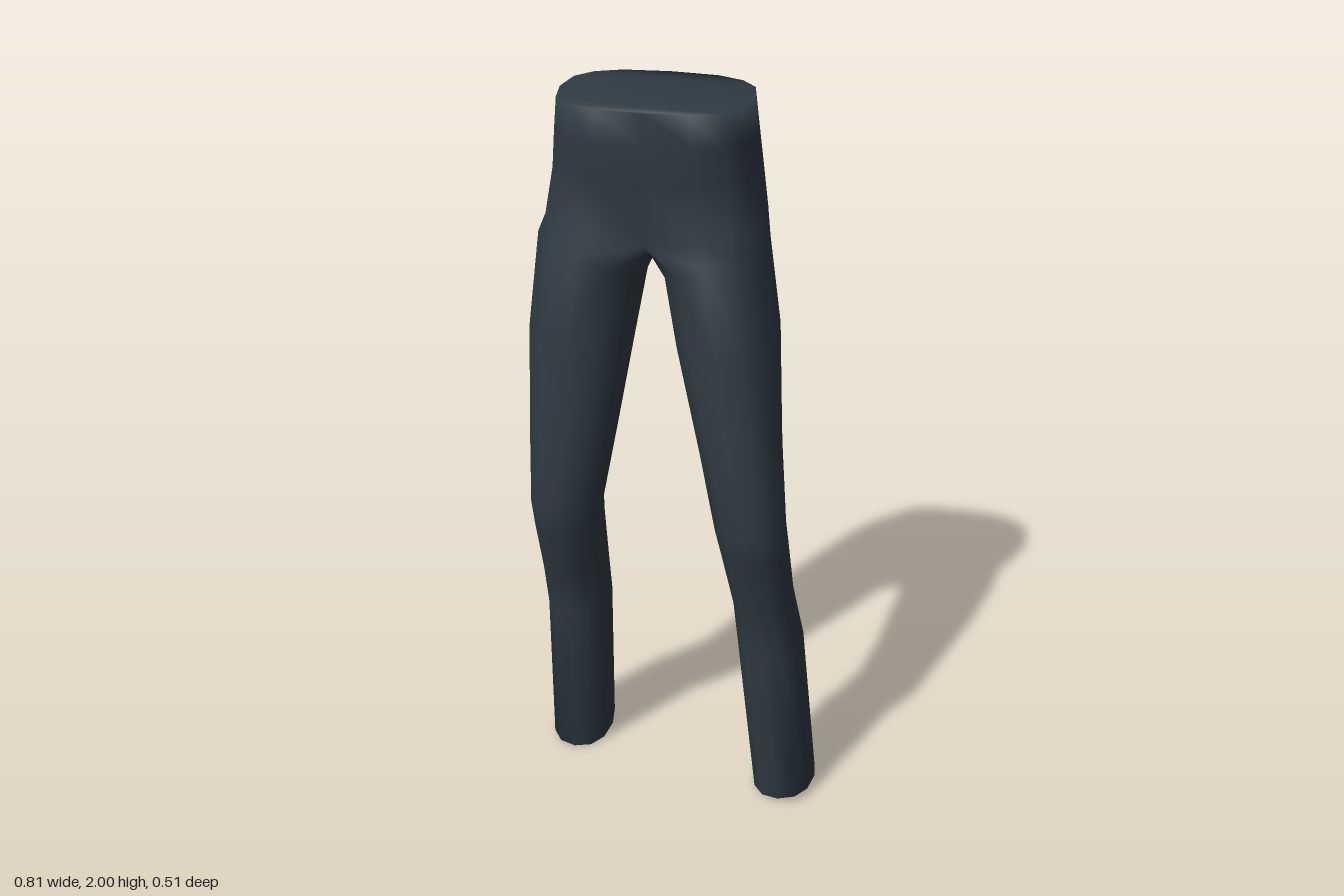
import * as THREE from 'three';

// Rounded outline point between x0..x1 and z0..z1; angle 90 is the front
function outline(x0, x1, z0, z1, degrees, power) {
  const a = THREE.MathUtils.degToRad(degrees);
  const bend = v => Math.sign(v) * Math.pow(Math.abs(v), power);
  const c = bend(Math.cos(a)), s = bend(Math.sin(a));
  return { c, s, x: (x0 + x1) / 2 + c * (x1 - x0) / 2, z: (z0 + z1) / 2 + s * (z1 - z0) / 2 };
}

// Hip rings from the waist down: y, x0, x1, z0, z1, forward tilt
const HIPS = [
  [1.99, -0.325, 0.175, -0.19, 0.135, -0.01],
  [1.90, -0.335, 0.182, -0.222, 0.137, 0],
  [1.80, -0.345, 0.19, -0.255, 0.138, 0],
  [1.68, -0.368, 0.21, -0.235, 0.14, 0],
];

// Leg rings from the thigh to the hem: y, x0, x1, z0, z1, outward tilt, forward tilt
const LEFT = [
  [1.575, -0.045, 0.222, -0.205, 0.172, 0.055, 0.03],
  [1.38, -0.005, 0.265, -0.14, 0.205, 0.01, 0],
  [1.10, 0.07, 0.29, -0.03, 0.235, 0, 0],
  [0.88, 0.12, 0.313, 0.022, 0.255, 0, 0.02],
  [0.81, 0.135, 0.318, 0.015, 0.235, 0, 0],
  [0.64, 0.165, 0.33, -0.02, 0.2, 0, 0],
  [0.48, 0.175, 0.36, -0.045, 0.172, 0, 0],
  [0.022, 0.23, 0.405, -0.06, 0.18, 0.008, 0],
];
const RIGHT = [
  [1.575, -0.38, -0.103, -0.205, 0.16, 0.055, 0.03],
  [1.38, -0.405, -0.123, -0.145, 0.18, 0.01, 0],
  [1.10, -0.403, -0.165, -0.055, 0.195, 0, 0],
  [0.88, -0.4, -0.203, -0.01, 0.205, 0, 0.02],
  [0.81, -0.398, -0.208, -0.03, 0.185, 0, 0],
  [0.64, -0.395, -0.215, -0.085, 0.13, 0, 0],
  [0.50, -0.398, -0.219, -0.127, 0.085, 0, 0],
  [0.02, -0.41, -0.235, -0.187, 0.045, 0, -0.016],
];

function trousersGeometry() {
  const positions = [], index = [];
  const add = (x, y, z) => positions.push(x, y, z) / 3 - 1;
  const tri = (a, b, c, flip) => {
    if (a !== b && b !== c && a !== c) index.push(...(flip ? [a, c, b] : [a, b, c]));
  };
  // Wall between two rings
  const wall = (top, low, flip) => top.forEach((a, i) => {
    const j = (i + 1) % top.length;
    tri(a, low[i], low[j], flip);
    tri(a, low[j], top[j], flip);
  });
  // Closing face across a ring
  const cap = (ring, flip) => {
    const n = ring.length;
    for (let k = 0; k < n / 2; k++) {
      const a = ring[k], b = ring[k + 1], c = ring[n - k - 1], d = ring[(n - k) % n];
      tri(a, b, c, flip);
      tri(a, c, d, flip);
    }
  };

  // Waist and hips
  const hips = HIPS.map(([y, x0, x1, z0, z1, tilt], row) => Array.from({ length: 16 }, (_, k) => {
    const p = outline(x0, x1, z0, z1, 90 - k * 22.5, 0.72);
    // The last ring dips towards the crotch
    const dip = row === HIPS.length - 1 ? 0.05 * (1 - Math.abs(p.c)) : 0;
    const tuck = dip && p.s > 0 ? 0.03 * (1 - Math.abs(p.c)) : 0;
    return add(p.x, y + tilt * p.s - dip, p.z - tuck);
  }));
  cap(hips[0], false);
  for (let i = 1; i < hips.length; i++) wall(hips[i - 1], hips[i], false);

  // Crotch seam shared by both legs, back to front
  const seam = [-0.13, -0.04, 0.05].map(z => add(-0.075, 1.59, z));

  // Legs, closed at the hems
  const last = hips[hips.length - 1];
  [[LEFT, 1], [RIGHT, -1]].forEach(([rings, side]) => {
    const flip = side < 0;
    let above = Array.from({ length: 9 }, (_, k) => last[(16 + side * k) % 16]).concat(seam);
    rings.forEach(([y, x0, x1, z0, z1, tiltOut, tiltFront]) => {
      const ring = Array.from({ length: 12 }, (_, k) => {
        const angle = 120 - k * 30;
        const p = outline(x0, x1, z0, z1, side > 0 ? angle : 180 - angle, 0.9);
        return add(p.x, y + tiltOut * p.c * side + tiltFront * p.s, p.z);
      });
      wall(above, ring, flip);
      above = ring;
    });
    cap(above, !flip);
  });

  const geometry = new THREE.BufferGeometry();
  geometry.setAttribute('position', new THREE.Float32BufferAttribute(positions, 3));
  geometry.setIndex(index);
  geometry.computeVertexNormals();
  return geometry;
}

export function createModel() {
  const group = new THREE.Group();
  group.name = 'trousers';
  const cloth = new THREE.MeshStandardMaterial({ color: 0x2f3a43 });
  cloth.name = 'dark slate cloth';
  const mesh = new THREE.Mesh(trousersGeometry(), cloth);
  mesh.name = 'trouserCloth';
  group.add(mesh);
  return group;
}
